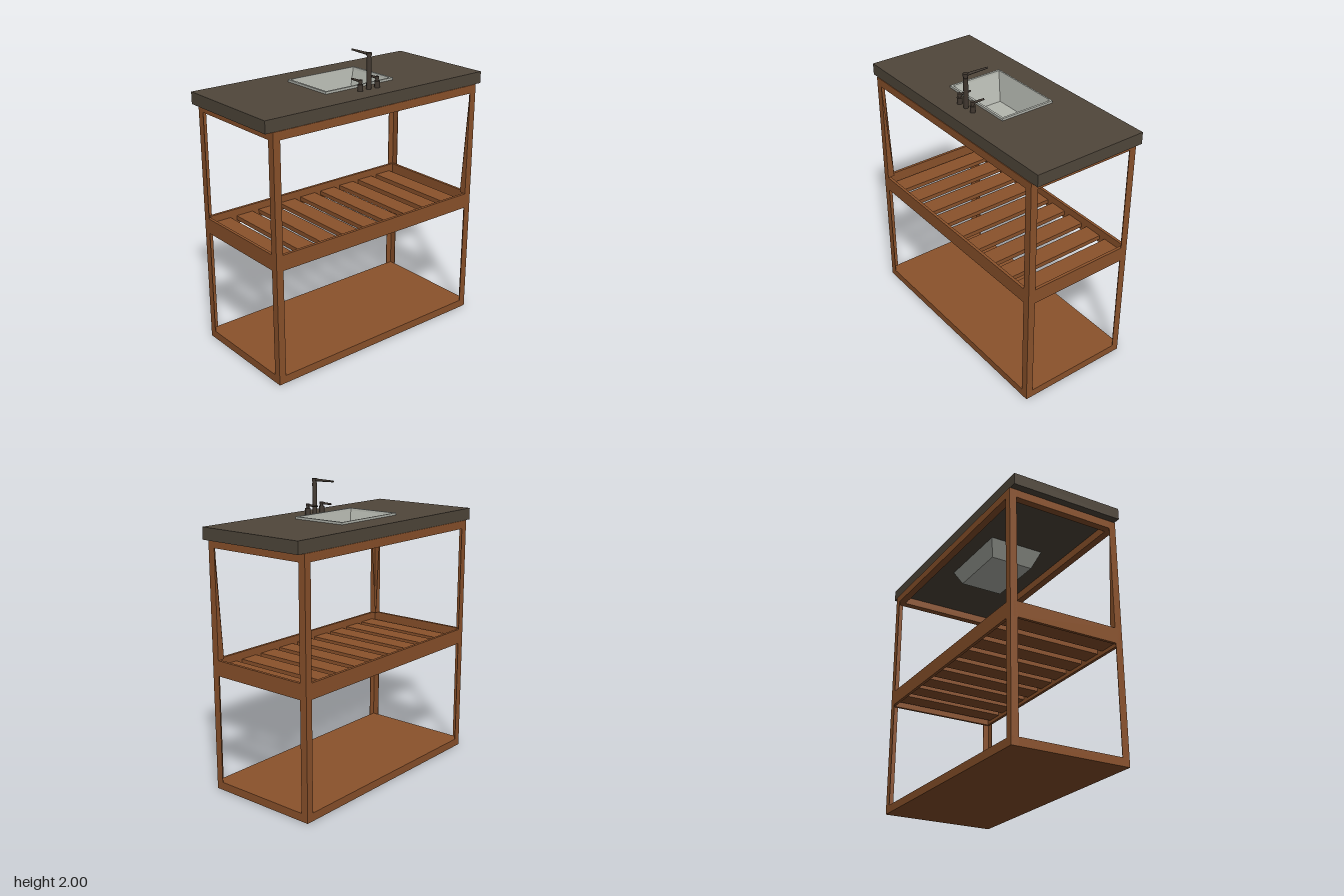
import * as THREE from 'three';

const mat = (name, color, side = THREE.FrontSide) => {
  const m = new THREE.MeshStandardMaterial({ color, side });
  m.name = name;
  return m;
};

export function createModel() {
  const root = new THREE.Group();
  root.name = 'washstand';
  const wood = mat('warm wood', 0x8b522b, THREE.DoubleSide);
  const stone = mat('dark stone', 0x50473b);
  const ceramic = mat('grey ceramic', 0xb4b7af);
  const bronze = mat('dark bronze', 0x40372f);

  const add = (name, geo, material, x = 0, y = 0, z = 0) => {
    const mesh = new THREE.Mesh(geo, material);
    mesh.name = name;
    mesh.position.set(x, y, z);
    root.add(mesh);
    return mesh;
  };
  // Box given by its limits on each axis
  const box = (name, material, x0, x1, y0, y1, z0, z1) =>
    add(name, new THREE.BoxGeometry(x1 - x0, y1 - y0, z1 - z0), material,
      (x0 + x1) / 2, (y0 + y1) / 2, (z0 + z1) / 2);

  const X = 0.84, Z = 0.405, P = 0.05, T = 0.004, TOP = 1.685;

  // Angle posts: two thin plates meeting at each outer corner
  for (const sx of [-1, 1]) {
    for (const sz of [-1, 1]) {
      add('postFacePlate', new THREE.BoxGeometry(P, TOP, T), wood, sx * (X - P / 2), TOP / 2, sz * (Z - T / 2));
      add('postSidePlate', new THREE.BoxGeometry(T, TOP, P), wood, sx * (X - T / 2), TOP / 2, sz * (Z - P / 2));
    }
    // Tapered inner faces of the front posts, above the shelf
    const xo = sx * X, xi = sx * (X - P), zi = Z - P;
    const taper = new THREE.BufferGeometry();
    taper.setAttribute('position', new THREE.Float32BufferAttribute([
      xi, 0.9, Z, xi, 0.9, zi, xi, 1.63, Z,
      xo, 0.9, zi, xi, 0.9, zi, xo, 1.63, zi,
    ], 3));
    taper.computeVertexNormals();
    add('postInnerTaper', taper, wood);
  }

  // Rails around the top and the shelf
  const rails = (name, y0, y1, t) => {
    for (const s of [-1, 1]) {
      add(name + 'LongRail', new THREE.BoxGeometry(2 * X - 0.01, y1 - y0, t), wood, 0, (y0 + y1) / 2, s * (Z - t / 2));
      add(name + 'SideRail', new THREE.BoxGeometry(t, y1 - y0, 2 * (Z - t)), wood, s * (X - t / 2), (y0 + y1) / 2, 0);
    }
  };
  rails('top', 1.63, TOP, P);
  rails('shelf', 0.795, 0.9, 0.02);

  // Floor panel and shelf slats
  box('floorPanel', wood, -X, X, 0, 0.055, -Z, Z);
  for (let i = 0; i < 9; i++) {
    const x = (i - 4) * 0.18;
    box('shelfSlat', wood, x - 0.065, x + 0.065, 0.82, 0.85, -Z + 0.02, Z - 0.02);
  }

  // Countertop with a cutout for the basin
  const slab = new THREE.Shape([[-0.89, -0.4], [0.89, -0.4], [0.89, 0.4], [-0.89, 0.4]]
    .map(([x, y]) => new THREE.Vector2(x, y)));
  slab.holes.push(new THREE.Path([[-0.275, -0.18], [-0.275, 0.205], [0.275, 0.205], [0.275, -0.18]]
    .map(([x, y]) => new THREE.Vector2(x, y))));
  const slabGeo = new THREE.ExtrudeGeometry(slab, { depth: 0.08, bevelEnabled: false });
  slabGeo.rotateX(-Math.PI / 2);
  add('countertop', slabGeo, stone, 0, TOP, 0);

  // Basin: rectangular rings [y, half width, back z, front z] from outside to inside
  const rings = [
    [1.575, 0.215, -0.17, 0.14],
    [1.685, 0.28, -0.21, 0.185],
    [1.78, 0.28, -0.21, 0.185],
    [1.78, 0.265, -0.2, 0.17],
    [1.765, 0.262, -0.197, 0.167],
    [1.59, 0.2, -0.16, 0.125],
  ].map(([y, w, b, f]) => [[-w, y, f], [w, y, f], [w, y, b], [-w, y, b]]);
  const pos = [];
  const quad = (a, b, c, d) => pos.push(...a, ...b, ...c, ...a, ...c, ...d);
  for (let r = 0; r < rings.length - 1; r++) {
    for (let i = 0; i < 4; i++) {
      const j = (i + 1) % 4;
      quad(rings[r][i], rings[r][j], rings[r + 1][j], rings[r + 1][i]);
    }
  }
  const [outer, inner] = [rings[0], rings[rings.length - 1]];
  quad(outer[3], outer[2], outer[1], outer[0]);
  quad(inner[0], inner[1], inner[2], inner[3]);
  const basin = new THREE.BufferGeometry();
  basin.setAttribute('position', new THREE.Float32BufferAttribute(pos, 3));
  basin.computeVertexNormals();
  add('basin', basin, ceramic);

  // Tap and its two handles
  const tube = (name, r, y0, y1, x) =>
    add(name, new THREE.CylinderGeometry(r, r, y1 - y0, 16), bronze, x, (y0 + y1) / 2, 0.26);
  const lever = (name, x, y, r0, r1, zEnd) => {
    const len = 0.265 - zEnd;
    const geo = new THREE.CylinderGeometry(r1, r0, len, 12);
    geo.rotateX(-Math.PI / 2);
    add(name, geo, bronze, x, y, zEnd + len / 2);
  };
  tube('tapColumn', 0.016, 1.765, 1.97, 0.007);
  tube('tapNeck', 0.013, 1.97, 1.98, 0.007);
  tube('tapHead', 0.017, 1.98, 2.0, 0.007);
  lever('tapSpout', 0.007, 1.99, 0.01, 0.006, 0.095);
  for (const x of [-0.063, 0.077]) {
    tube('handleBase', 0.018, 1.765, 1.808, x);
    tube('handleNeck', 0.01, 1.808, 1.82, x);
    tube('handleHead', 0.013, 1.818, 1.837, x);
    lever('handleLever', x, 1.827, 0.009, 0.006, 0.175);
  }
  return root;
}
